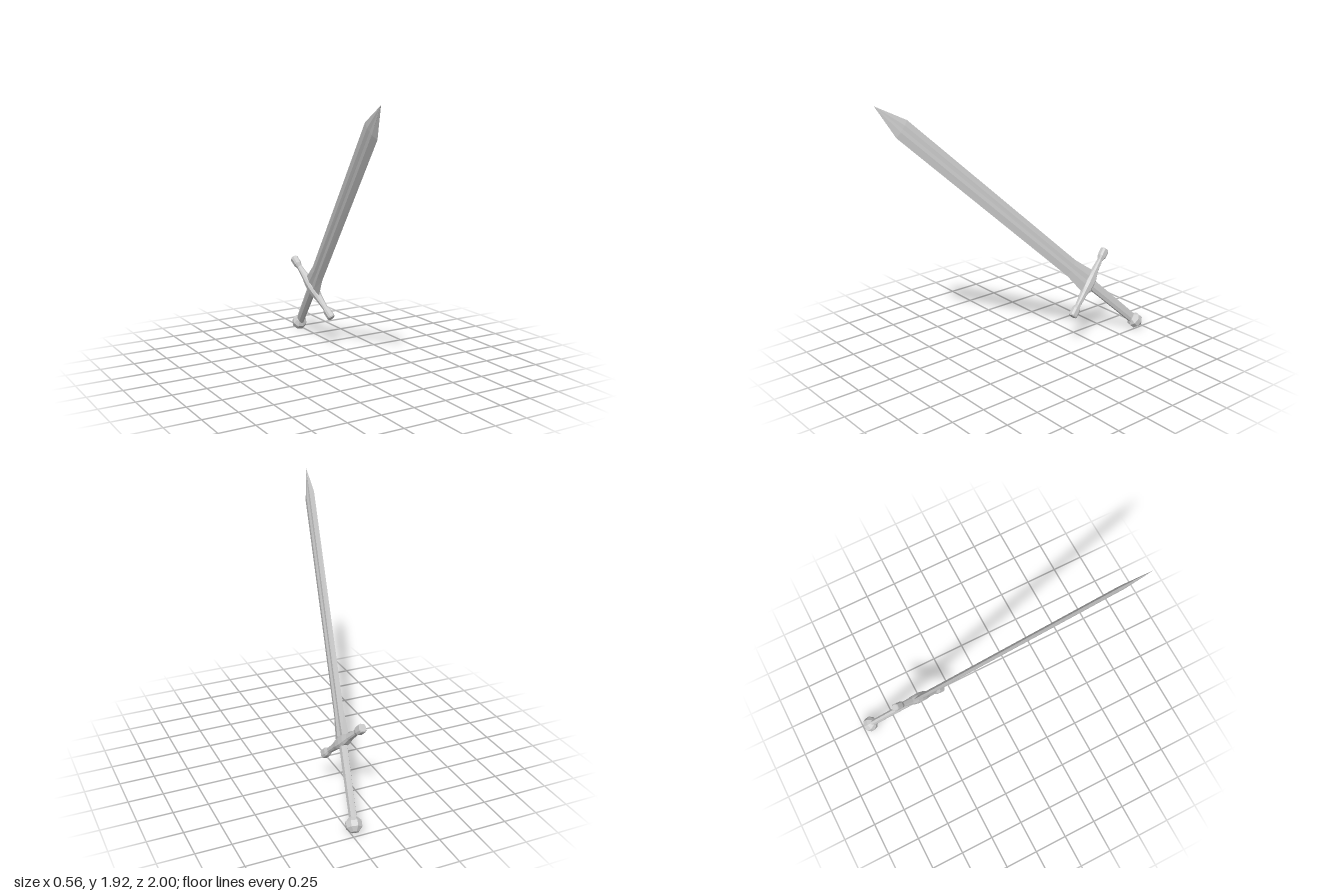
import * as THREE from 'three';

const material = new THREE.MeshStandardMaterial({ color: 0xcccccc, flatShading: true });

// Skins a list of equal-length point rings, each counter-clockwise seen from the far end, and caps both ends.
function loft(name, rings) {
  const pos = [];
  const tri = (a, b, c) => pos.push(...a, ...b, ...c);
  const n = rings[0].length;
  for (let r = 0; r < rings.length - 1; r++) {
    const lo = rings[r], hi = rings[r + 1];
    for (let i = 0; i < n; i++) {
      const j = (i + 1) % n;
      tri(lo[i], lo[j], hi[j]);
      tri(lo[i], hi[j], hi[i]);
    }
  }
  const first = rings[0], last = rings[rings.length - 1];
  const mid = (ring) => [0, 1, 2].map((k) => ring.reduce((s, p) => s + p[k], 0) / n);
  for (let i = 0; i < n; i++) {
    const j = (i + 1) % n;
    tri(mid(first), first[j], first[i]);
    tri(mid(last), last[i], last[j]);
  }
  const geometry = new THREE.BufferGeometry();
  geometry.setAttribute('position', new THREE.Float32BufferAttribute(pos, 3));
  geometry.computeVertexNormals();
  const mesh = new THREE.Mesh(geometry, material);
  mesh.name = name;
  return mesh;
}

// Blade ring at height y: sharp edges, bevels and a shallow groove on each face
function bladeRing([y, w, t, groove]) {
  const c = 0.38 * w;
  return [[w, 0], [c, -t], [0, -groove], [-c, -t], [-w, 0], [-c, t], [0, groove], [c, t]]
    .map(([x, z]) => [x, y, z]);
}

// Guard ring at distance x: a bevelled rectangle, lo..hi along the sword and t thick to each side
function guardRing([x, lo, hi, t]) {
  const cy = (lo + hi) / 2, h = (hi - lo) / 2, a = 0.55;
  return [[1, -a], [1, a], [a, 1], [-a, 1], [-1, a], [-1, -a], [-a, -1], [a, -1]]
    .map(([p, q]) => [x, cy + p * h, q * t]);
}

export function createModel() {
  const sword = new THREE.Group();
  sword.name = 'sword';

  // Built upright: y runs from pommel to tip, x along the guard
  sword.add(loft('blade', [
    [0.575, 0.094, 0.017, 0.013],
    [0.61, 0.092, 0.017, 0.012],
    [0.777, 0.07, 0.016, 0.011],
    [2.50, 0.073, 0.014, 0.011],
    [2.74, 0.001, 0.001, 0.001],
  ].map(bladeRing)));

  // Cross guard, mirrored from the centre outwards
  const half = [
    [0, 0.530, 0.607, 0.037],
    [0.05, 0.534, 0.604, 0.034],
    [0.10, 0.546, 0.593, 0.026],
    [0.20, 0.552, 0.586, 0.018],
    [0.23, 0.540, 0.599, 0.026],
    [0.285, 0.539, 0.600, 0.026],
    [0.294, 0.544, 0.595, 0.021],
  ];
  const mirrored = half.slice(1).reverse().map(([x, ...rest]) => [-x, ...rest]);
  sword.add(loft('crossGuard', [...mirrored, ...half].map(guardRing)));

  // Flattened eight-sided grip
  const grip = new THREE.Mesh(new THREE.CylinderGeometry(0.042, 0.038, 0.52, 8).rotateY(Math.PI / 8), material);
  grip.name = 'grip';
  grip.scale.z = 0.6;
  grip.position.y = 0.29;
  sword.add(grip);

  // Faceted pommel
  const profile = [[0, -0.055], [0.028, -0.051], [0.057, -0.02], [0.057, 0.02], [0.028, 0.051], [0, 0.055]]
    .map(([r, y]) => new THREE.Vector2(r, y));
  const pommel = new THREE.Mesh(new THREE.LatheGeometry(profile, 8), material);
  pommel.name = 'pommel';
  sword.add(pommel);

  // Tilt into the slanted resting pose
  const along = new THREE.Vector3(-0.181, 0.6825, 0.708).normalize();
  const across = new THREE.Vector3(-0.17, 0.686, -0.708);
  const side = across.clone().cross(along).normalize();
  across.crossVectors(along, side);
  sword.quaternion.setFromRotationMatrix(new THREE.Matrix4().makeBasis(across, along, side));
  sword.position.set(0.222, 0.058, -0.942);

  const model = new THREE.Group();
  model.add(sword);
  return model;
}
